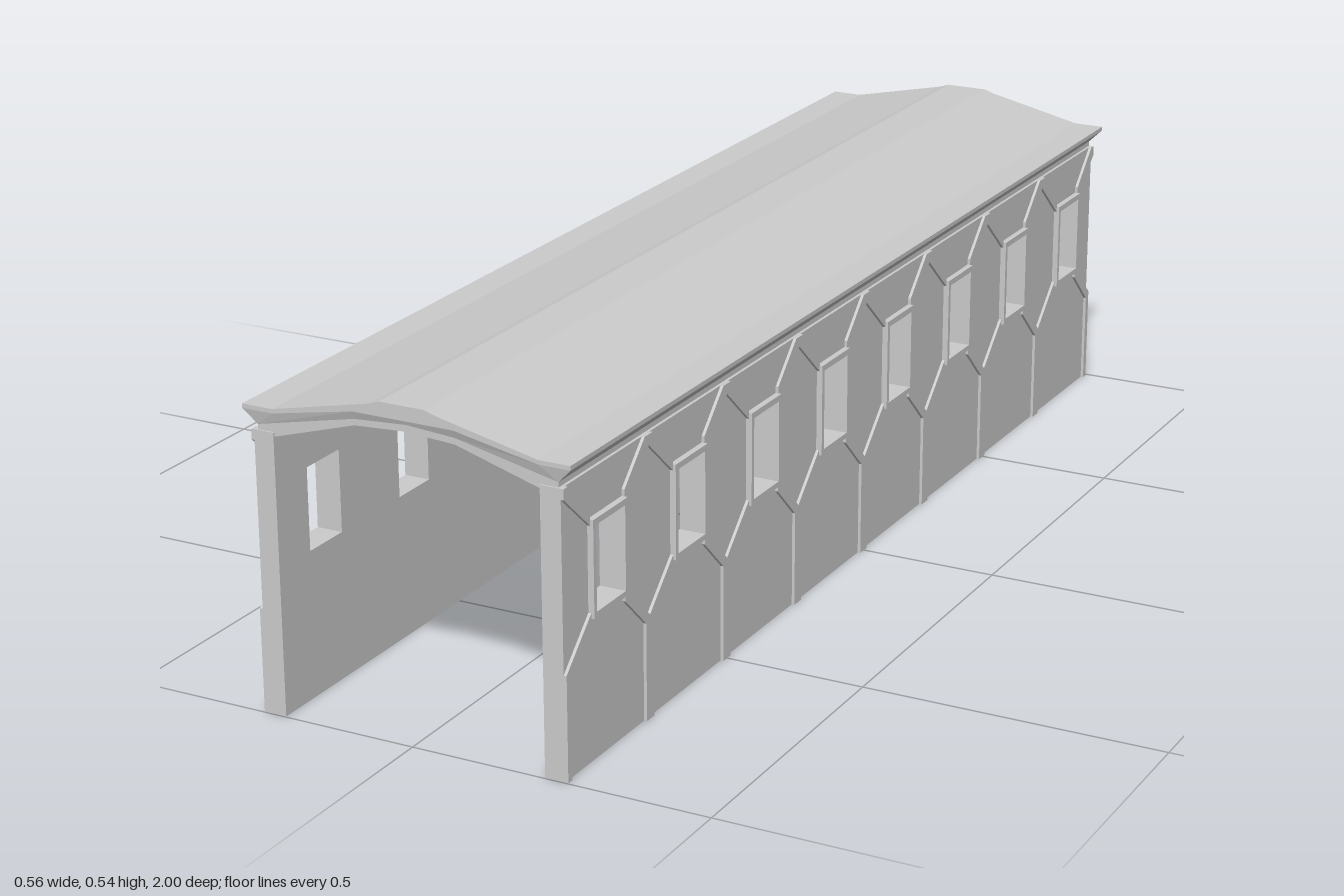
import * as THREE from 'three';

const BAYS = 8, BAY = 0.249, LEN = BAYS * BAY;
const mat = new THREE.MeshStandardMaterial({ color: 0xcccccc, flatShading: true });

const bayCentre = i => -LEN / 2 + BAY * (i + 0.5);
const rect = (Type, u, w, y0, y1) => new Type([
  [u - w, y0], [u + w, y0], [u + w, y1], [u - w, y1],
].map(p => new THREE.Vector2(...p)));
const poly = pts => new THREE.Shape(pts.map(p => new THREE.Vector2(...p)));

function mesh(name, geometry) {
  const m = new THREE.Mesh(geometry, mat);
  m.name = name;
  return m;
}

// Extrudes a (length, height) outline sideways from x0 to x1
function slab(shape, x0, x1) {
  const g = new THREE.ExtrudeGeometry(shape, { depth: x1 - x0, bevelEnabled: false });
  return g.rotateY(Math.PI / 2).translate(x0, 0, 0);
}

function createWall() {
  const wall = new THREE.Group();

  // Pierced wall plate
  const plate = rect(THREE.Shape, 0, LEN / 2, 0, 0.457);
  for (let i = 0; i < BAYS; i++) plate.holes.push(rect(THREE.Path, bayCentre(i), 0.043, 0.24, 0.375));
  wall.add(mesh('wallPlate', slab(plate, 0.226, 0.26)));

  const post = 0.012, reach = 0.074;
  for (let i = 0; i < BAYS; i++) {
    const c = bayCentre(i);

    // Raised window surround
    const frame = rect(THREE.Shape, c, 0.051, 0.231, 0.385);
    frame.holes.push(rect(THREE.Path, c, 0.043, 0.24, 0.375));
    wall.add(mesh('windowFrame', slab(frame, 0.258, 0.27)));

    // Half ribs on both sides of the bay: forked post below, peaked brace above
    for (const s of [-1, 1]) {
      const at = pts => poly(pts.map(([d, y]) => [c + s * (BAY / 2 - d), y]));
      const lower = at([[0, 0], [post, 0], [post, 0.16], [reach, 0.219], [reach, 0.24], [0, 0.17]]);
      const upper = at([[0, 0.44], [reach, 0.375], [reach, 0.396], [post, 0.457], [0, 0.457]]);
      wall.add(mesh('forkedPost', slab(lower, 0.258, 0.265)));
      wall.add(mesh('upperBrace', slab(upper, 0.258, 0.265)));
    }
  }
  return wall;
}

// Full-width outline from right-half curves: top runs centre to eave, bottom eave to centre
function section(top, bottom) {
  const half = [...top, ...bottom];
  const mirrored = half.filter(p => p[0] > 0).reverse().map(([x, y]) => [-x, y]);
  return poly([...half, ...mirrored]);
}

function roofPart(top, bottom, halfLength) {
  const g = new THREE.ExtrudeGeometry(section(top, bottom), { depth: halfLength * 2, bevelEnabled: false });
  return g.translate(0, 0, -halfLength);
}

function createRoof() {
  const roof = new THREE.Group();
  roof.name = 'roof';
  const outer = [[0, 0.538], [0.038, 0.538], [0.056, 0.532], [0.225, 0.495], [0.278, 0.495]];
  const upper = [[0, 0.52], [0.085, 0.515], [0.225, 0.488], [0.278, 0.488]];
  const lower = [[0, 0.508], [0.085, 0.502], [0.225, 0.465], [0.255, 0.465]];
  const ceiling = [[0.255, 0.456], [0.226, 0.45], [0.085, 0.492], [0, 0.497]];
  const END = 1, INSET = 0.995;

  roof.add(mesh('roofCovering', roofPart(outer, [...upper].reverse(), END)));

  // Cove band: its lower edge is drawn in at both ends
  const cove = roofPart(upper, [...lower].reverse(), END);
  const p = cove.attributes.position;
  for (let i = 0; i < p.count; i++) {
    const isLower = lower.some(([x, y]) =>
      Math.abs(Math.abs(p.getX(i)) - x) < 1e-5 && Math.abs(p.getY(i) - y) < 1e-5);
    if (isLower) p.setZ(i, Math.sign(p.getZ(i)) * INSET);
  }
  cove.computeVertexNormals();
  roof.add(mesh('eaveCove', cove));

  roof.add(mesh('ceiling', roofPart(lower, ceiling, INSET)));
  return roof;
}

export function createModel() {
  const model = new THREE.Group();
  model.name = 'coveredPassage';
  for (const [name, turn] of [['leftWall', 0], ['rightWall', Math.PI]]) {
    const wall = createWall();
    wall.name = name;
    wall.rotation.y = turn;
    wall.position.z = 0.002;
    model.add(wall);
  }
  model.add(createRoof());
  return model;
}
